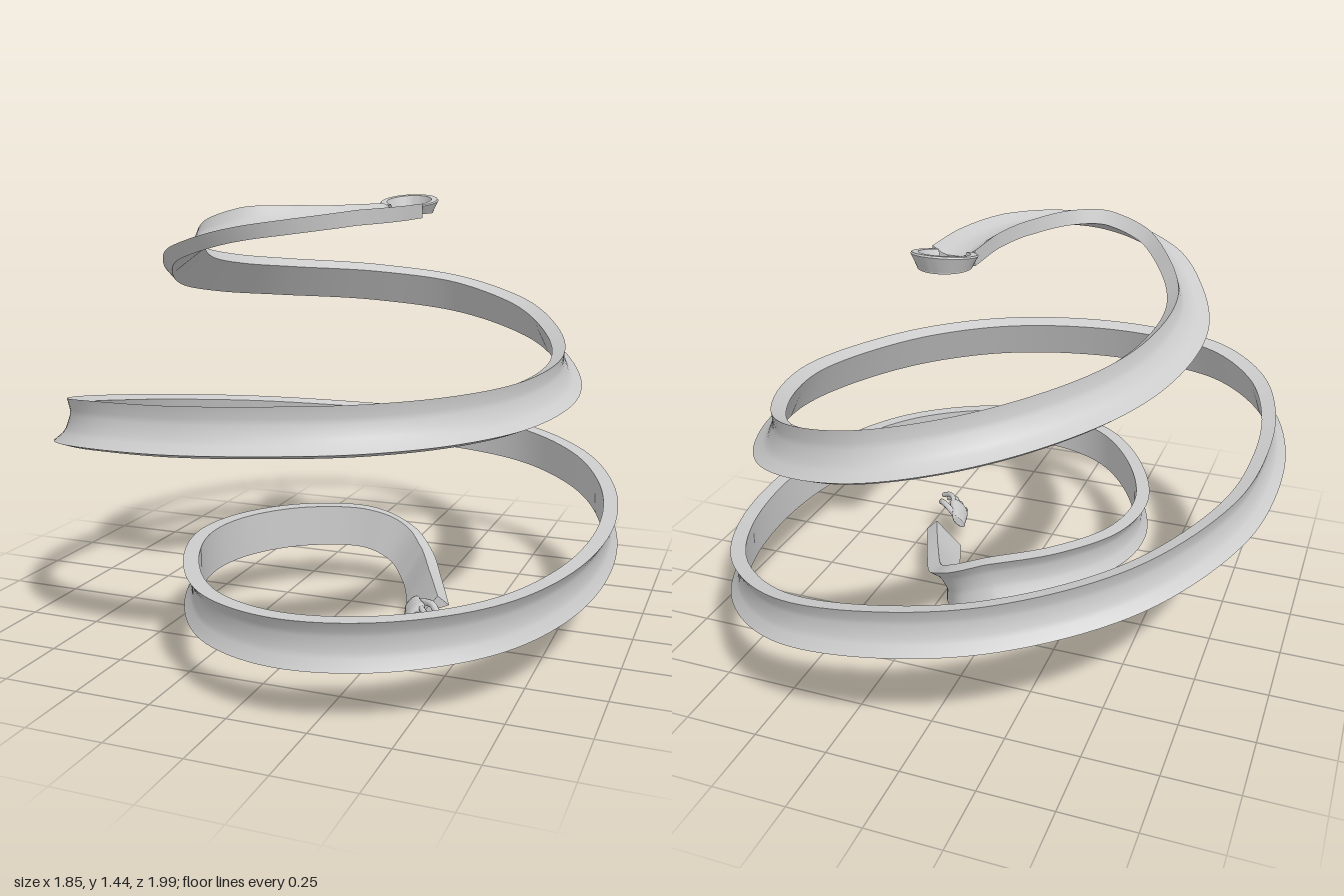
import * as THREE from 'three';
import { toCreasedNormals } from 'three/addons/utils/BufferGeometryUtils.js';

const material = new THREE.MeshStandardMaterial({ color: 0xcccccc, side: THREE.DoubleSide });
const V = (x, y, z) => new THREE.Vector3(x, y, z);

// Centre line of the spiral, from the top end down to the wrist
const path = new THREE.CatmullRomCurve3([
  [0.11, 1.385, -0.22], [0.1, 1.385, 0], [0.04, 1.383, 0.2], [-0.08, 1.375, 0.36], [-0.22, 1.36, 0.415],
  [-0.4, 1.31, 0.37], [-0.52, 1.25, 0.22], [-0.59, 1.19, 0.03], [-0.575, 1.145, -0.22], [-0.47, 1.11, -0.5],
  [-0.2, 1.07, -0.81], [0.12, 1.02, -0.94], [0.42, 0.95, -0.83], [0.62, 0.88, -0.53], [0.71, 0.83, -0.15],
  [0.65, 0.8, 0.18], [0.5, 0.79, 0.44], [0.27, 0.785, 0.64], [0, 0.78, 0.75], [-0.28, 0.77, 0.79],
  [-0.58, 0.755, 0.74], [-0.77, 0.72, 0.58], [-0.86, 0.68, 0.35], [-0.875, 0.635, 0.08], [-0.82, 0.59, -0.2],
  [-0.6, 0.53, -0.57], [-0.25, 0.48, -0.83], [0.1, 0.45, -0.94], [0.42, 0.415, -0.92], [0.67, 0.375, -0.74],
  [0.83, 0.335, -0.43], [0.895, 0.305, 0], [0.84, 0.28, 0.41], [0.69, 0.265, 0.71], [0.43, 0.255, 0.91],
  [0.15, 0.25, 0.97], [-0.1, 0.247, 0.88], [-0.29, 0.245, 0.65], [-0.4, 0.245, 0.34], [-0.36, 0.243, 0.1],
  [-0.2, 0.238, -0.1], [0, 0.215, -0.21], [0.12, 0.165, -0.215], [0.2, 0.11, -0.15], [0.28, 0.08, 0.02],
  [0.36, 0.073, 0.22],
].map((p) => V(...p)));
const LAST = path.points.length - 1;

// Roll of the band in degrees: lying flat at the top, upright below, leaning out at the wrist
const rollKeys = [[0, 90], [2, 86], [4, 66], [7, 45], [11, 29], [14, 24], [19, 21], [23, 18], [27, 11], [31, 0], [41, 0], [43, -25], [45, -40]];
function rollAt(i) {
  let k = 0;
  while (k < rollKeys.length - 2 && i > rollKeys[k + 1][0]) k++;
  const [a, ra] = rollKeys[k], [b, rb] = rollKeys[k + 1];
  return THREE.MathUtils.degToRad(THREE.MathUtils.lerp(ra, rb, (i - a) / (b - a)));
}

// Directions across the band (b) and out of its hollow face (n)
function frameAt(t) {
  const d = path.getTangent(t);
  const out = V(d.z, 0, -d.x).normalize();
  const up = d.clone().cross(out).normalize();
  const r = rollAt(t * LAST);
  const n = out.clone().multiplyScalar(Math.cos(r)).addScaledVector(up, Math.sin(r));
  const b = up.clone().multiplyScalar(Math.cos(r)).addScaledVector(out, -Math.sin(r));
  return { d, n, b };
}

// Band: flat inside, hollow outside with a flared lip on both edges
function bandGeometry() {
  const half = [[0.073, -0.024], [0.073, 0.026], [0.04, 0.006], [0.022, 0.001]];
  const section = [...half, ...half.slice().reverse().map(([x, y]) => [-x, y])];
  const m = section.length, steps = LAST * 9;
  const pos = [], index = [];
  for (let i = 0; i <= steps; i++) {
    const t = i / steps, c = path.getPoint(t), { n, b } = frameAt(t);
    for (const [w, h] of section) {
      const p = c.clone().addScaledVector(b, w).addScaledVector(n, h);
      pos.push(p.x, p.y, p.z);
    }
  }
  for (let i = 0; i < steps; i++) {
    for (let j = 0; j < m; j++) {
      const a = i * m + j, b = i * m + (j + 1) % m;
      index.push(a, b, a + m, b, b + m, a + m);
    }
  }
  const end = steps * m;
  const faces = THREE.ShapeUtils.triangulateShape(section.map(([x, y]) => new THREE.Vector2(x, y)), []);
  for (const [a, b, c] of faces) index.push(a, b, c, end + a, end + c, end + b);
  const g = new THREE.BufferGeometry();
  g.setAttribute('position', new THREE.Float32BufferAttribute(pos, 3));
  g.setIndex(index);
  return toCreasedNormals(g, 0.3);
}

// Collar on the top end: a shallow cup with a rim that rises to the back
function createCollar() {
  const collar = new THREE.Group();
  collar.name = 'collar';
  const add = (name, profile, start, length) => {
    const g = new THREE.LatheGeometry(profile.map(([x, y]) => new THREE.Vector2(x, y)), 48, start, length);
    const p = g.attributes.position;
    for (let i = 0; i < p.count; i++) {
      const back = (0.1 - p.getZ(i)) / 0.2;
      p.setY(i, 0.006 * back + p.getY(i) * (0.028 + 0.032 * back));
    }
    const mesh = new THREE.Mesh(toCreasedNormals(g, 0.6), material);
    mesh.name = name;
    collar.add(mesh);
  };
  add('collarFloor', [[0, 0], [0.085, 0], [0.088, 0.3], [0, 0.3]], 0, Math.PI * 2);
  add('collarRim', [[0.084, 0], [0.104, 0.9], [0.1, 1], [0.08, 1], [0.07, 0.3], [0.084, 0]], 0.62, Math.PI * 2 - 1.24);
  collar.position.set(0.107, 1.372, -0.3);
  return collar;
}

// Hand: x across the palm to the thumb, y out of its back, z along the fingers
function createHand() {
  const hand = new THREE.Group();
  hand.name = 'hand';
  const add = (name, g) => {
    const mesh = new THREE.Mesh(g, material);
    mesh.name = name;
    hand.add(mesh);
    return mesh;
  };
  // Palm and wrist: a lathe squashed flat, widening to the knuckles
  const palm = [[0, 0], [0.03, 0], [0.034, 0.02], [0.041, 0.06], [0.047, 0.1], [0.042, 0.122], [0.025, 0.131], [0, 0.133]];
  const g = new THREE.LatheGeometry(new THREE.SplineCurve(palm.map((p) => new THREE.Vector2(...p))).getPoints(24), 24);
  g.rotateX(Math.PI / 2);
  g.scale(1, 0.48, 1);
  add('palm', toCreasedNormals(g, 0.8));

  const finger = (name, r, pts) => {
    const curve = new THREE.CatmullRomCurve3(pts.map((p) => V(...p)));
    add(name, new THREE.TubeGeometry(curve, 12, r, 10));
    add(name + 'Tip', new THREE.SphereGeometry(r, 10, 8)).position.copy(curve.getPoint(1));
  };
  const lengths = [0.085, 0.108, 0.115, 0.1];
  lengths.forEach((l, i) => {
    const s = i - 1.5, x = s * 0.023;
    finger('finger' + (i + 1), 0.0098, [
      [x, 0, 0.1], [x + s * 0.003, 0.001, 0.12 + l * 0.3],
      [x + s * 0.006, -0.015, 0.12 + l * 0.65], [x + s * 0.007, -0.042, 0.12 + l * 0.9],
    ]);
  });
  finger('thumb', 0.0115, [[0.024, -0.004, 0.035], [0.05, -0.014, 0.07], [0.062, -0.026, 0.1], [0.06, -0.04, 0.13]]);

  const { d, b } = frameAt(1);
  d.set(d.x, 0, d.z).normalize();
  b.addScaledVector(d, -b.dot(d)).normalize();
  hand.quaternion.setFromRotationMatrix(new THREE.Matrix4().makeBasis(b, d.clone().cross(b), d));
  hand.position.set(0.315, 0.128, 0.262);
  return hand;
}

export function createModel() {
  const model = new THREE.Group();
  model.name = 'spiralArm';
  const band = new THREE.Mesh(bandGeometry(), material);
  band.name = 'spiralBand';
  model.add(band, createCollar(), createHand());
  return model;
}
